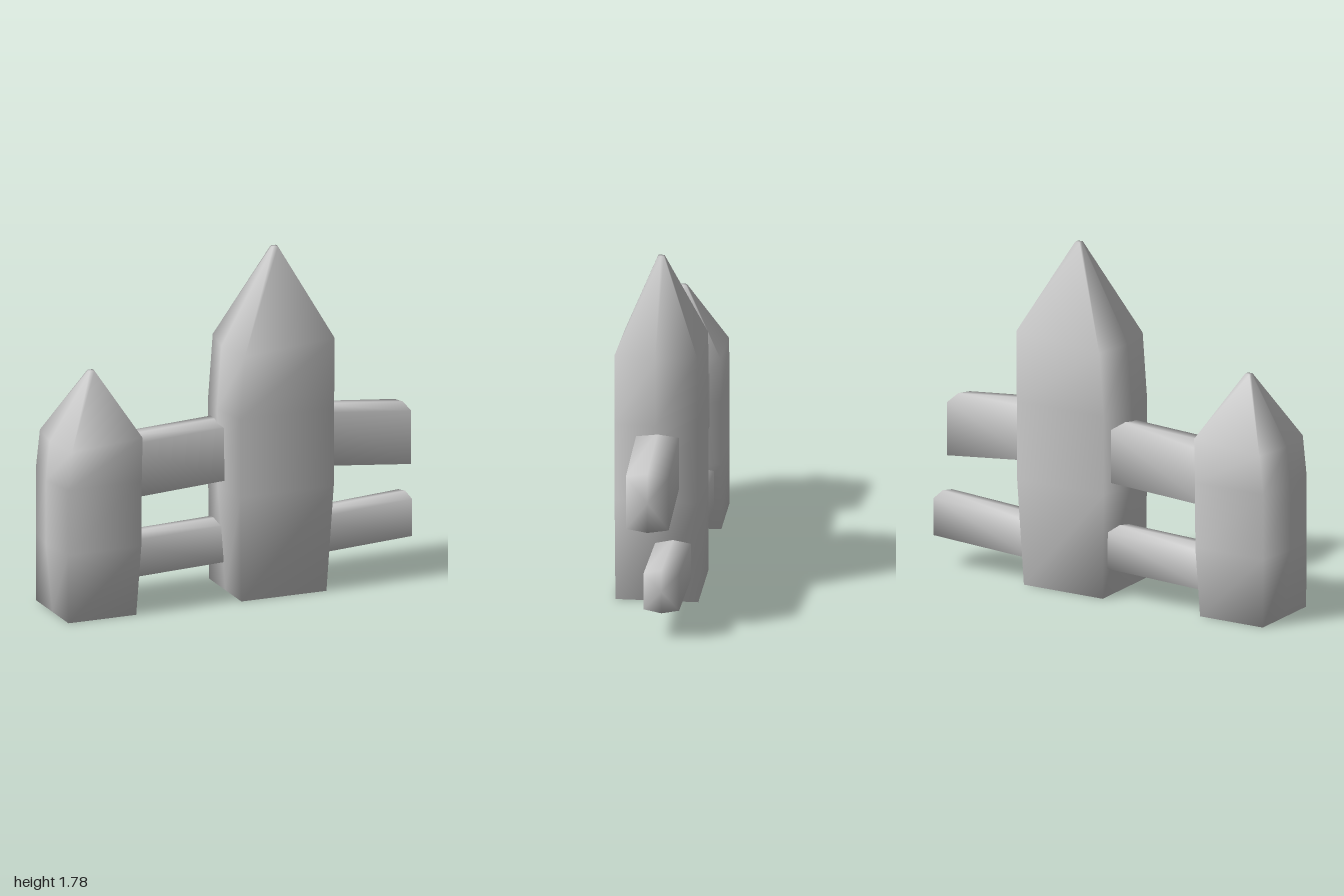
import * as THREE from 'three';

const material = new THREE.MeshStandardMaterial({ color: 0xcccccc });

// Skins a run of equal-sized loops and closes both ends, with shared smooth normals.
function loft(name, loops) {
  const n = loops[0].length;
  const points = loops.flat();
  const index = [];
  for (let s = 0; s < loops.length - 1; s++) {
    for (let i = 0; i < n; i++) {
      const a = s * n + i, b = s * n + (i + 1) % n;
      index.push(a, b, b + n, a, b + n, a + n);
    }
  }
  const last = (loops.length - 1) * n;
  for (const [start, flip] of [[0, true], [last, false]]) {
    const centre = new THREE.Vector3();
    for (let i = 0; i < n; i++) centre.addScaledVector(points[start + i], 1 / n);
    const c = points.push(centre) - 1;
    for (let i = 0; i < n; i++) {
      const a = start + i, b = start + (i + 1) % n;
      if (flip) index.push(c, b, a);
      else index.push(c, a, b);
    }
  }
  const geometry = new THREE.BufferGeometry().setFromPoints(points);
  geometry.setIndex(index);
  geometry.computeVertexNormals();
  const mesh = new THREE.Mesh(geometry, material);
  mesh.name = name;
  return mesh;
}

// Six-sided post section: corners front and back, a bulging ridge on each side.
function postLoop([yl, yr, ridgeL, ridgeR, cornerL, cornerR, d]) {
  const v = (x, y, z) => new THREE.Vector3(x, y, z);
  return [
    v(cornerL, yl, d), v(cornerR, yr, d), v(ridgeR, yr, 0),
    v(cornerR, yr, -d), v(cornerL, yl, -d), v(ridgeL, yl, 0),
  ];
}

// Six-sided rail section: ridges along the top and bottom.
function railLoop(x, y0, y1, z0, z1) {
  const v = (y, z) => new THREE.Vector3(x, y, z);
  const mid = (z0 + z1) / 2, rise = 0.018;
  return [
    v(y0 + rise, z1), v(y0, mid), v(y0 + rise, z0),
    v(y1 - rise, z0), v(y1, mid), v(y1 - rise, z1),
  ];
}

export function createModel() {
  const group = new THREE.Group();
  group.name = 'picketFence';

  // Pointed posts: left y, right y, ridge x pair, corner x pair, half depth
  const posts = {
    tallPost: [
      [0, 0, -0.02, 0.445, -0.02, 0.445, 0.21],
      [0.55, 0.55, -0.06, 0.5, -0.025, 0.485, 0.21],
      [0.96, 0.96, -0.065, 0.505, -0.025, 0.487, 0.21],
      [1.29, 1.33, -0.04, 0.52, 0, 0.49, 0.21],
      [1.785, 1.785, 0.232, 0.265, 0.235, 0.262, 0.016],
    ],
    shortPost: [
      [0, 0, -0.965, -0.595, -0.965, -0.595, 0.21],
      [0.36, 0.36, -1, -0.552, -0.967, -0.567, 0.21],
      [0.7, 0.7, -1, -0.55, -0.967, -0.565, 0.21],
      [0.9, 0.93, -0.98, -0.538, -0.945, -0.56, 0.21],
      [1.25, 1.25, -0.77, -0.738, -0.767, -0.741, 0.016],
    ],
  };
  for (const [name, sections] of Object.entries(posts)) {
    group.add(loft(name, sections.map(postLoop)));
  }

  // Rails: each end gives x, bottom and top; then back and front z
  const rails = [
    ['upperInnerRail', [-0.6, 0.547, 0.867], [0, 0.583, 0.898], -0.155, 0.06],
    ['lowerInnerRail', [-0.64, 0.107, 0.338], [0.02, 0.134, 0.362], -0.175, 0.005],
    ['upperOuterRail', [0.44, 0.61, 0.925], [0.955, 0.558, 0.875], -0.117, 0.1],
    ['lowerOuterRail', [0.4, 0.11, 0.336], [1, 0.145, 0.376], -0.175, 0.005],
  ];
  for (const [name, a, b, z0, z1] of rails) {
    group.add(loft(name, [railLoop(...a, z0, z1), railLoop(...b, z0, z1)]));
  }
  return group;
}
